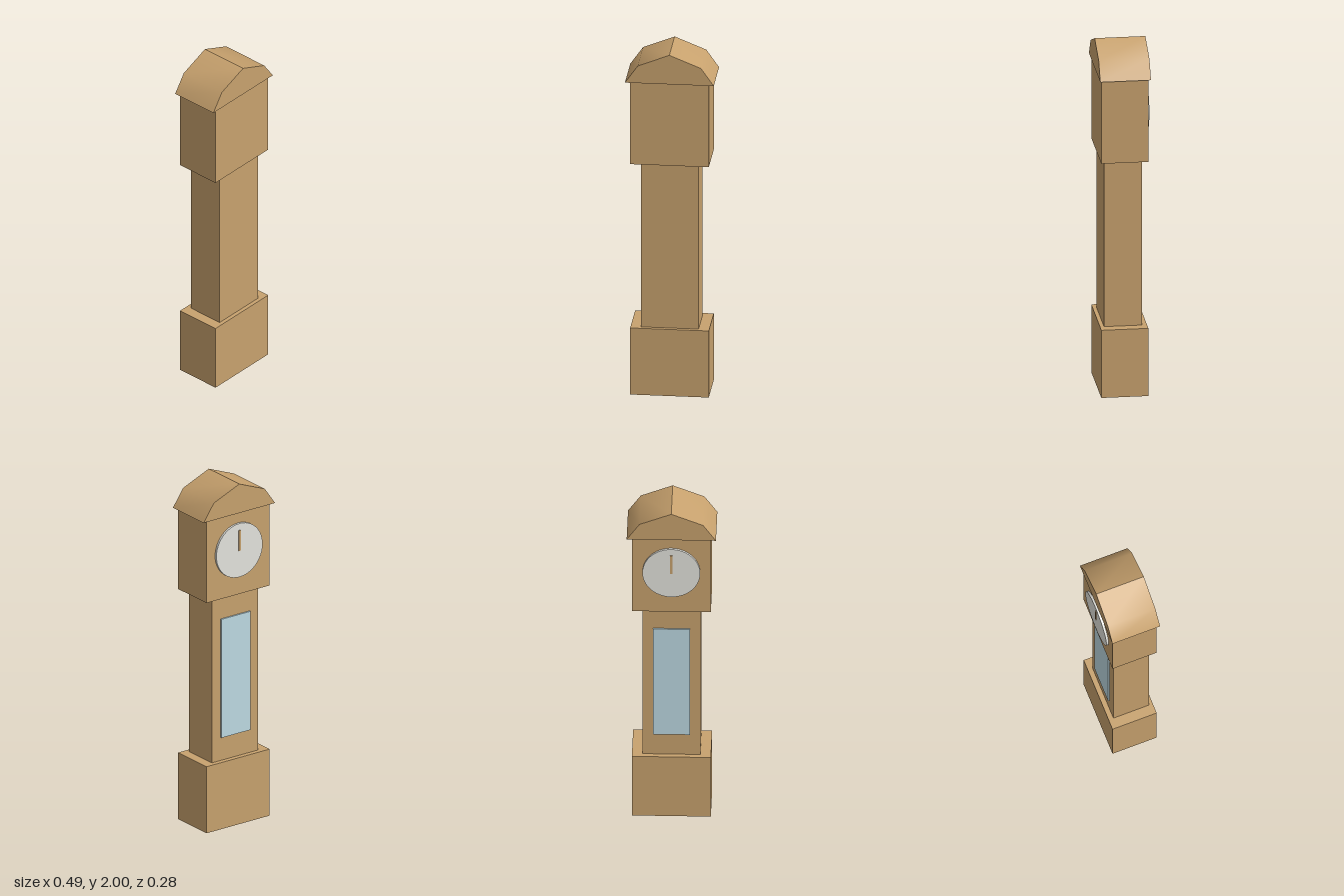
import * as THREE from 'three';
import { toCreasedNormals } from 'three/addons/utils/BufferGeometryUtils.js';

const mat = (name, color) => {
  const m = new THREE.MeshStandardMaterial({ color });
  m.name = name;
  return m;
};

export function createModel() {
  const clock = new THREE.Group();
  clock.name = 'longcaseClock';
  const wood = mat('wood', 0xc8a26e);
  const ivory = mat('dial', 0xe4e4de);
  const glass = mat('glass', 0xbedae3);

  const add = (name, geometry, material) => {
    const mesh = new THREE.Mesh(geometry, material);
    mesh.name = name;
    clock.add(mesh);
    return mesh;
  };
  // Box given by half width, height range and depth range
  const box = (name, material, halfW, y0, y1, z0, z1) =>
    add(name, new THREE.BoxGeometry(2 * halfW, y1 - y0, z1 - z0), material)
      .position.set(0, (y0 + y1) / 2, (z0 + z1) / 2);

  // Case: plinth, narrow trunk, hood
  box('plinth', wood, 0.215, 0, 0.39, -0.126, 0.132);
  box('trunk', wood, 0.157, 0.39, 1.35, -0.098, 0.11);
  box('hood', wood, 0.215, 1.35, 1.83, -0.126, 0.132);

  // Gambrel roof with a sharp ridge and softened knees
  const profile = [[-0.243, 1.83], [0.243, 1.83], [0.173, 1.93], [0, 2], [-0.173, 1.93]];
  const shape = new THREE.Shape(profile.map(([x, y]) => new THREE.Vector2(x, y)));
  const roof = new THREE.ExtrudeGeometry(shape, { depth: 0.278, bevelEnabled: false });
  roof.translate(0, 0, -0.137);
  add('roof', toCreasedNormals(roof, 0.67), wood);

  // Dial, hand and door glass on the -z side
  const dial = new THREE.CylinderGeometry(0.157, 0.157, 0.013, 48).rotateX(Math.PI / 2);
  add('dial', dial, ivory).position.set(0, 1.612, -0.1325);
  box('hand', wood, 0.006, 1.61, 1.73, -0.143, -0.137);
  box('doorGlass', glass, 0.1, 0.525, 1.22, -0.107, -0.098);

  return clock;
}
